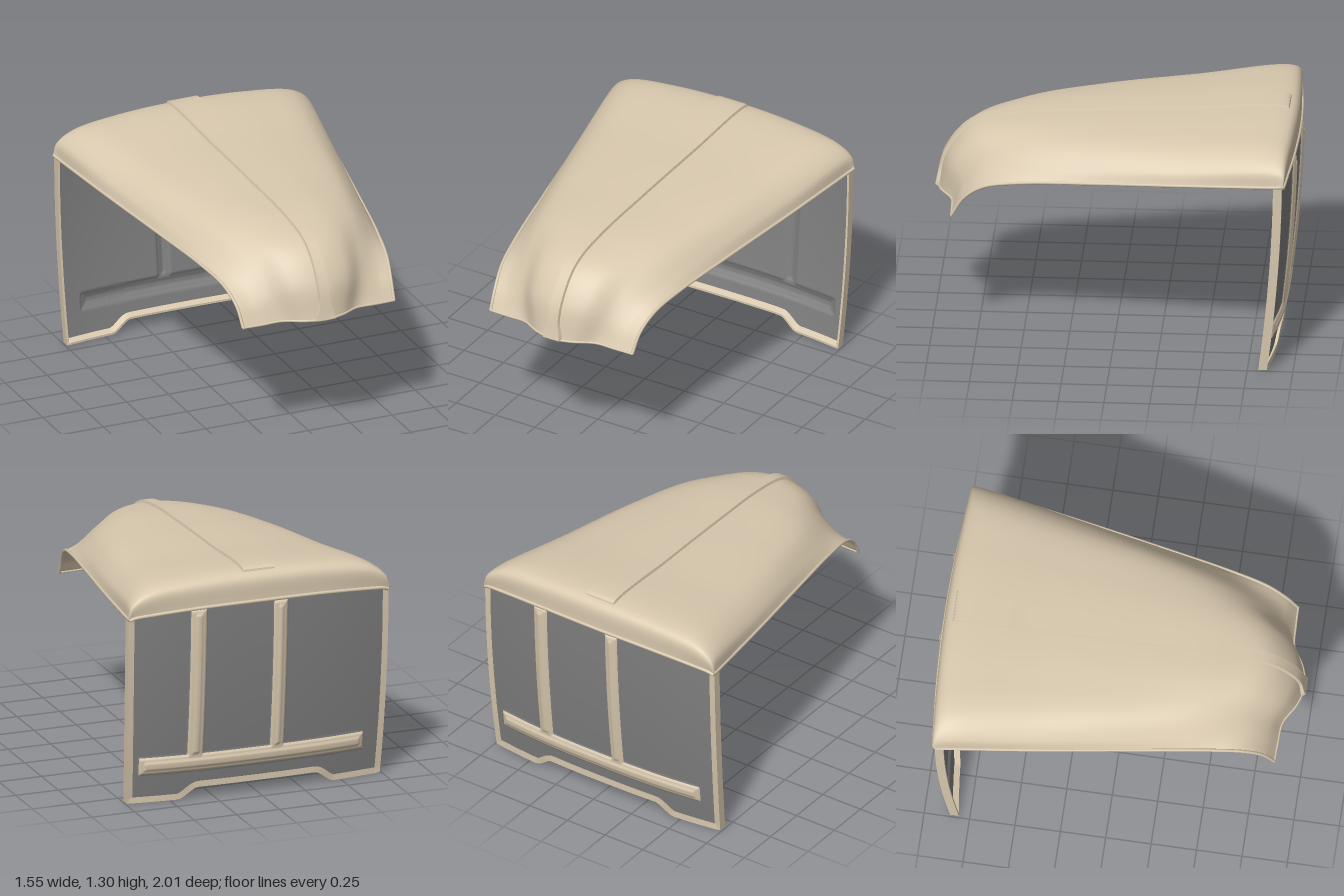
import * as THREE from 'three';
import { toCreasedNormals } from 'three/addons/utils/BufferGeometryUtils.js';

const tan = new THREE.MeshStandardMaterial({ color: 0xd8c8ae, side: THREE.DoubleSide });
tan.name = 'tan paint';
const grey = new THREE.MeshStandardMaterial({ color: 0x808080, side: THREE.DoubleSide });
grey.name = 'grey sheet';

const { clamp, lerp, smoothstep } = THREE.MathUtils;
const V = (x, y, z) => new THREE.Vector3(x, y, z);

// Surface from a rule fn(u, v) -> Vector3, facing du x dv
function sheet(fn, nu, nv) {
  const pos = [], idx = [];
  for (let j = 0; j <= nv; j++)
    for (let i = 0; i <= nu; i++) pos.push(...fn(i / nu, j / nv).toArray());
  for (let j = 0; j < nv; j++)
    for (let i = 0; i < nu; i++) {
      const a = j * (nu + 1) + i, b = a + 1, d = a + nu + 1, c = d + 1;
      idx.push(a, b, c, a, c, d);
    }
  const g = new THREE.BufferGeometry();
  g.setAttribute('position', new THREE.Float32BufferAttribute(pos, 3));
  g.setIndex(idx);
  g.computeVertexNormals();
  return g;
}

function part(name, geometry, material) {
  const m = new THREE.Mesh(geometry, material);
  m.name = name;
  return m;
}

// Hood sections from the rolled rear edge to the nose: edge, foot, shoulder, upper, centre
const sections = [
  [[.755, 1.09, -.945], [.73, 1.10, -.95], [.62, 1.11, -.96], [.36, 1.125, -.98], [0, 1.13, -.99]],
  [[.765, 1.10, -.945], [.745, 1.16, -.95], [.66, 1.21, -.955], [.38, 1.245, -.97], [0, 1.255, -.98]],
  [[.757, 1.095, -.9], [.74, 1.175, -.9], [.64, 1.245, -.9], [.36, 1.28, -.92], [0, 1.29, -.93]],
  [[.68, 1.06, -.4], [.655, 1.13, -.4], [.55, 1.215, -.4], [.31, 1.255, -.4], [0, 1.265, -.4]],
  [[.595, 1.025, .1], [.56, 1.09, .1], [.465, 1.18, .1], [.26, 1.225, .1], [0, 1.235, .1]],
  [[.525, .99, .5], [.475, 1.04, .5], [.375, 1.13, .5], [.21, 1.185, .53], [0, 1.195, .55]],
  [[.485, .945, .71], [.41, .975, .71], [.31, 1.04, .72], [.18, 1.11, .765], [0, 1.13, .795]],
  [[.46, .865, .82], [.37, .87, .825], [.275, .91, .835], [.16, .96, .9], [0, .97, .932]],
  [[.45, .76, .885], [.34, .76, .888], [.225, .765, .897], [.11, .77, .96], [0, .77, .985]],
].map(half => new THREE.CatmullRomCurve3([
  ...half.map(p => V(...p)),
  ...half.slice(0, 4).reverse().map(([x, y, z]) => V(-x, y, z)),
]));
const hoodLine = u => new THREE.CatmullRomCurve3(sections.map(s => s.getPoint(u)));

// Rear panel: gentle bow in height and width
const rimFront = y => -.805 - .145 * y + .06 * y * y;
const halfWidth = y => .735 + .04 * y - .02 * y * y;
const bottomY = x => lerp(.08, .015, smoothstep(Math.abs(x), .34, .46));
const topY = x => 1.13 - .04 * (x / .75) ** 2;
const panelBase = (x, y) =>
  rimFront(y) - .03 - (.05 + .015 * y) * (1 - Math.min(1, Math.abs(x / .75)) ** 2.5);

// Pressed channels: x0, x1, y0, y1
const channels = {
  crossRib: [-.63, .68, .17, .27],
  rightUprightRib: [-.15, -.07, .25, 1.12],
  leftUprightRib: [.32, .41, .25, 1.12],
};
const inside = (x, y, [x0, x1, y0, y1], m) => {
  const d = Math.min(x - x0 - m, x1 - m - x, y - y0 - m, y1 - m - y);
  return smoothstep(d, 0, .012);
};
const panelZ = (x, y) => {
  let depth = 0;
  for (const c of Object.values(channels))
    depth = Math.max(depth, .01 * inside(x, y, c, 0) + .008 * inside(x, y, c, .022));
  return panelBase(x, y) - depth;
};

export function createModel() {
  const model = new THREE.Group();
  model.name = 'hoodAndPanel';

  // Hood shell
  const hood = new THREE.Group();
  hood.name = 'hood';
  const N = 64, lines = [];
  for (let i = 0; i <= N; i++) lines.push(hoodLine(i / N));
  hood.add(part('hoodShell', sheet((u, v) => lines[Math.round(u * N)].getPoint(v), N, 80), tan));

  // Rolled lip along the sides and front
  for (const [name, i] of [['leftLip', 0], ['rightLip', N]])
    hood.add(part(name, new THREE.TubeGeometry(lines[i], 80, .009, 8), tan));
  hood.add(part('frontLip', new THREE.TubeGeometry(sections[8], 60, .007, 8), tan));
  hood.add(part('rearLip', new THREE.TubeGeometry(sections[0], 60, .01, 8), tan));

  // Raised centre strip, tapering towards the nose
  const centre = lines[N / 2];
  const strip = sheet((u, v) => {
    const t = lerp(.235, 1, v), p = centre.getPoint(t), d = centre.getTangent(t);
    const w = lerp(.088, .03, clamp((p.z + .93) / 1.55, 0, 1)) + .02 * smoothstep(t, .93, 1);
    const k = Math.round(u * 3);
    const side = [1, 1, -1, -1][k], top = k === 1 || k === 2;
    const h = top ? .014 * clamp(v * 60, 0, 1) : -.012;
    return V(side * (top ? w : w + .008), p.y + d.z * h, p.z - d.y * h);
  }, 3, 90);
  hood.add(part('centreStrip', toCreasedNormals(strip, .6), tan));
  model.add(hood);

  // Grey rear panel with pressed channels
  const panel = new THREE.Group();
  panel.name = 'rearPanel';
  panel.add(part('panelSheet', sheet((u, v) => {
    const s = u * 2 - 1, x0 = s * .75;
    const y = lerp(bottomY(x0), topY(x0), v), x = s * halfWidth(y);
    return V(x, y, panelZ(x, y));
  }, 170, 110), grey));

  // Tan skins over the backs of the channels
  for (const [name, [x0, x1, y0, y1]] of Object.entries(channels)) {
    const nu = Math.ceil((x1 - x0) / .008), nv = Math.ceil((y1 - y0) / .008);
    panel.add(part(name, sheet((u, v) => {
      const x = lerp(x1, x0, u), y = lerp(y0, y1, v);
      return V(x, y, panelZ(x, y) - .005);
    }, nu, nv), tan));
  }

  // Rim down one side, along the notched bottom and up the other
  const path = [];
  for (let i = 0; i <= 24; i++) {
    const y = lerp(1.1, .015, i / 24);
    path.push([halfWidth(y), y]);
  }
  for (let i = 1; i < 80; i++) {
    const x = lerp(.735, -.735, i / 80);
    path.push([x, bottomY(x)]);
  }
  for (let i = 0; i <= 24; i++) {
    const y = lerp(.015, 1.1, i / 24);
    path.push([-halfWidth(y), y]);
  }
  const last = path.length - 1;
  const rim = sheet((u, v) => {
    const i = Math.round(v * last), k = Math.round(u * 4) % 4;
    const [x, y] = path[i];
    const a = path[Math.max(0, i - 1)], b = path[Math.min(last, i + 1)];
    const len = Math.hypot(b[0] - a[0], b[1] - a[1]);
    // inward direction in the panel's plane
    const nx = (b[1] - a[1]) / len, ny = -(b[0] - a[0]) / len;
    const inset = [-.006, -.006, .028, .006][k];
    const z = panelBase(x, y) + [.03, -.018, -.018, .03][k];
    return V(x + nx * inset, y + ny * inset, z);
  }, 4, last);
  panel.add(part('panelRim', toCreasedNormals(rim, .6), tan));
  model.add(panel);

  return model;
}
